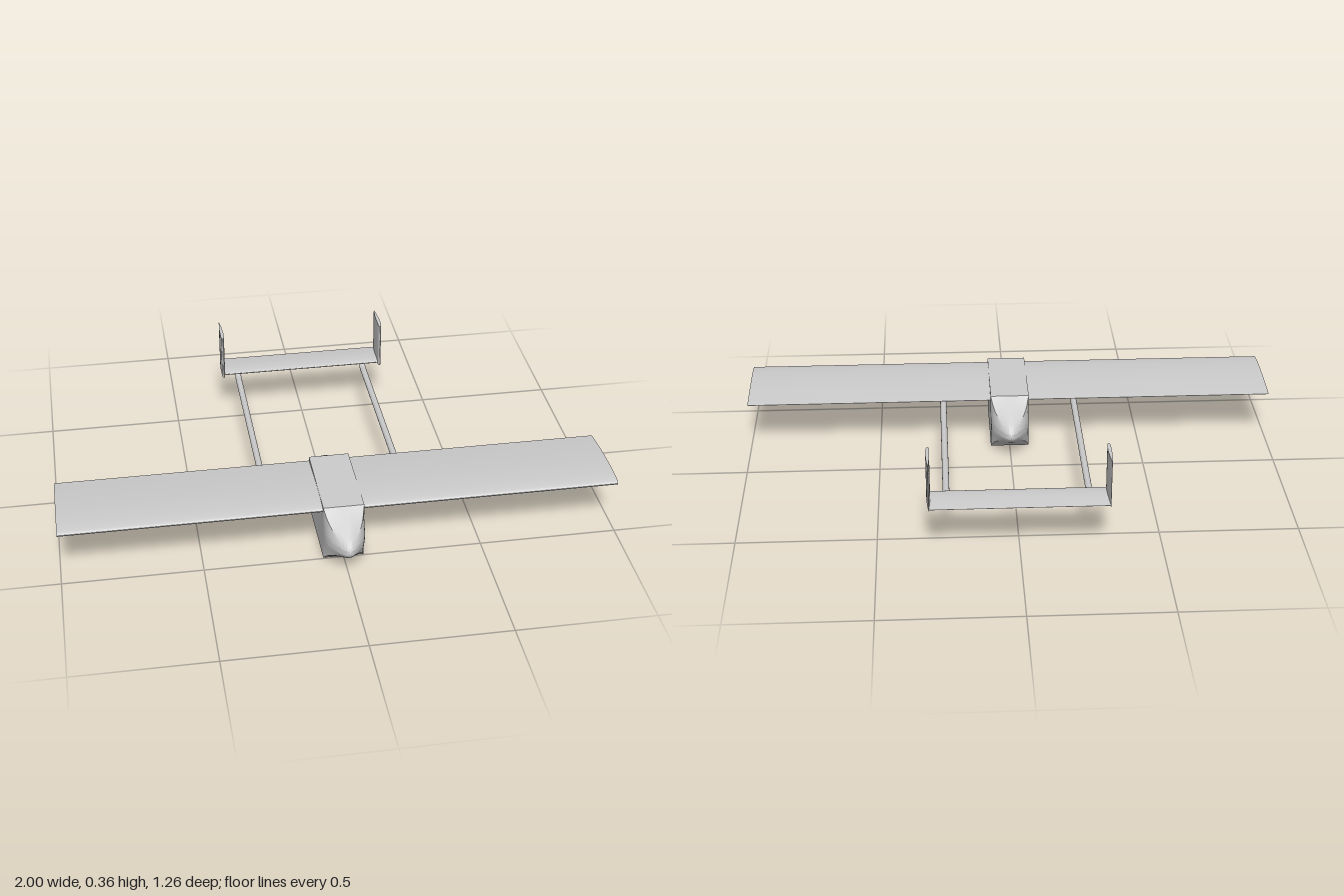
import * as THREE from 'three';
import { toCreasedNormals } from 'three/addons/utils/BufferGeometryUtils.js';

const grey = new THREE.MeshStandardMaterial({ color: 0xcccccc });

function add(parent, name, geometry, x = 0, y = 0, z = 0) {
  const mesh = new THREE.Mesh(geometry, grey);
  mesh.name = name;
  mesh.position.set(x, y, z);
  parent.add(mesh);
  return mesh;
}

// Flat-bottomed airfoil slab: span along x, leading edge at z = 0, tail at z = -chord
function airfoil(span, chord, thick) {
  const s = new THREE.Shape();
  s.moveTo(-chord, thick * 0.45);
  s.bezierCurveTo(-chord * 0.7, thick * 0.85, -chord * 0.45, thick * 1.03, -chord * 0.3, thick);
  s.bezierCurveTo(-chord * 0.15, thick, 0, thick * 0.85, 0, thick * 0.5);
  s.bezierCurveTo(0, thick * 0.15, -chord * 0.05, 0, -chord * 0.12, 0);
  s.lineTo(-chord * 0.55, 0);
  s.quadraticCurveTo(-chord * 0.75, thick * 0.08, -chord, thick * 0.4);
  const g = new THREE.ExtrudeGeometry(s, { depth: span, bevelEnabled: false, curveSegments: 10 });
  g.translate(0, 0, -span / 2).rotateY(-Math.PI / 2);
  return toCreasedNormals(g, 0.6);
}

// Fairing lofted from a rectangle (z = 0) to a rounded tip (z = 0.14)
function fairing(halfW, halfH) {
  const rows = 14, sides = 48, length = 0.14;
  const curve = pts => new THREE.SplineCurve(pts.map(p => new THREE.Vector2(...p)));
  // [distance, half size], both as fractions
  const width = curve([[0, 1], [0.28, 0.95], [0.57, 0.73], [0.82, 0.42], [0.95, 0.18], [1, 0]]);
  const height = curve([[0, 1], [0.28, 0.75], [0.57, 0.51], [0.82, 0.3], [0.95, 0.14], [1, 0]]);
  const pos = [], idx = [];
  for (let i = 0; i <= rows; i++) {
    const w = width.getPoint(i / rows), h = height.getPoint(i / rows);
    const round = Math.min(1, Math.pow(w.x, 0.8) * 1.2);
    for (let j = 0; j < sides; j++) {
      const a = (j / sides) * Math.PI * 2, c = Math.cos(a), s = Math.sin(a);
      const k = THREE.MathUtils.lerp(1 / Math.max(Math.abs(c), Math.abs(s)), 1, round);
      pos.push(c * k * w.y * halfW, s * k * h.y * halfH, w.x * length);
      if (i < rows) {
        const p = i * sides + j, q = i * sides + (j + 1) % sides;
        idx.push(p, q, q + sides, p, q + sides, p + sides);
      }
    }
  }
  const g = new THREE.BufferGeometry();
  g.setAttribute('position', new THREE.Float32BufferAttribute(pos, 3));
  g.setIndex(idx);
  return toCreasedNormals(g, 0.6);
}

export function createModel() {
  const model = new THREE.Group();
  model.name = 'twinBoomAircraft';

  // Fuselage: box with matching nose and tail fairings
  const W = 0.073, H = 0.1075;
  const fuselage = new THREE.Group();
  fuselage.name = 'fuselage';
  model.add(fuselage);
  add(fuselage, 'fuselageBox', new THREE.BoxGeometry(W * 2, H * 2, 0.33), 0, H, 0.33);
  add(fuselage, 'noseFairing', fairing(W, H), 0, H, 0.495);
  add(fuselage, 'tailFairing', fairing(W, H).rotateY(Math.PI), 0, H, 0.165);

  // Main wing
  add(model, 'wing', airfoil(2, 0.325, 0.026), 0, 0.187, 0.49);

  // Booms: bent tubes from wing underside to tailplane
  const v = (y, z) => new THREE.Vector3(0, y, z);
  const path = new THREE.CurvePath();
  path.add(new THREE.QuadraticBezierCurve3(v(0.192, 0.316), v(0.158, 0.305), v(0.158, 0.265)));
  path.add(new THREE.LineCurve3(v(0.158, 0.265), v(0.158, -0.515)));
  path.add(new THREE.QuadraticBezierCurve3(v(0.158, -0.515), v(0.158, -0.55), v(0.192, -0.56)));
  const boom = new THREE.TubeGeometry(path, 160, 0.012, 16);
  add(model, 'rightBoom', boom, -0.25);
  add(model, 'leftBoom', boom, 0.254);

  // Tailplane with upright fins at its tips
  add(model, 'tailplane', airfoil(0.627, 0.125, 0.014), 0.0035, 0.187, -0.505);
  const fin = airfoil(0.176, 0.138, 0.013).rotateZ(-Math.PI / 2);
  add(model, 'rightFin', fin, -0.317, 0.275, -0.492);
  add(model, 'leftFin', fin, 0.31, 0.275, -0.492);

  return model;
}
